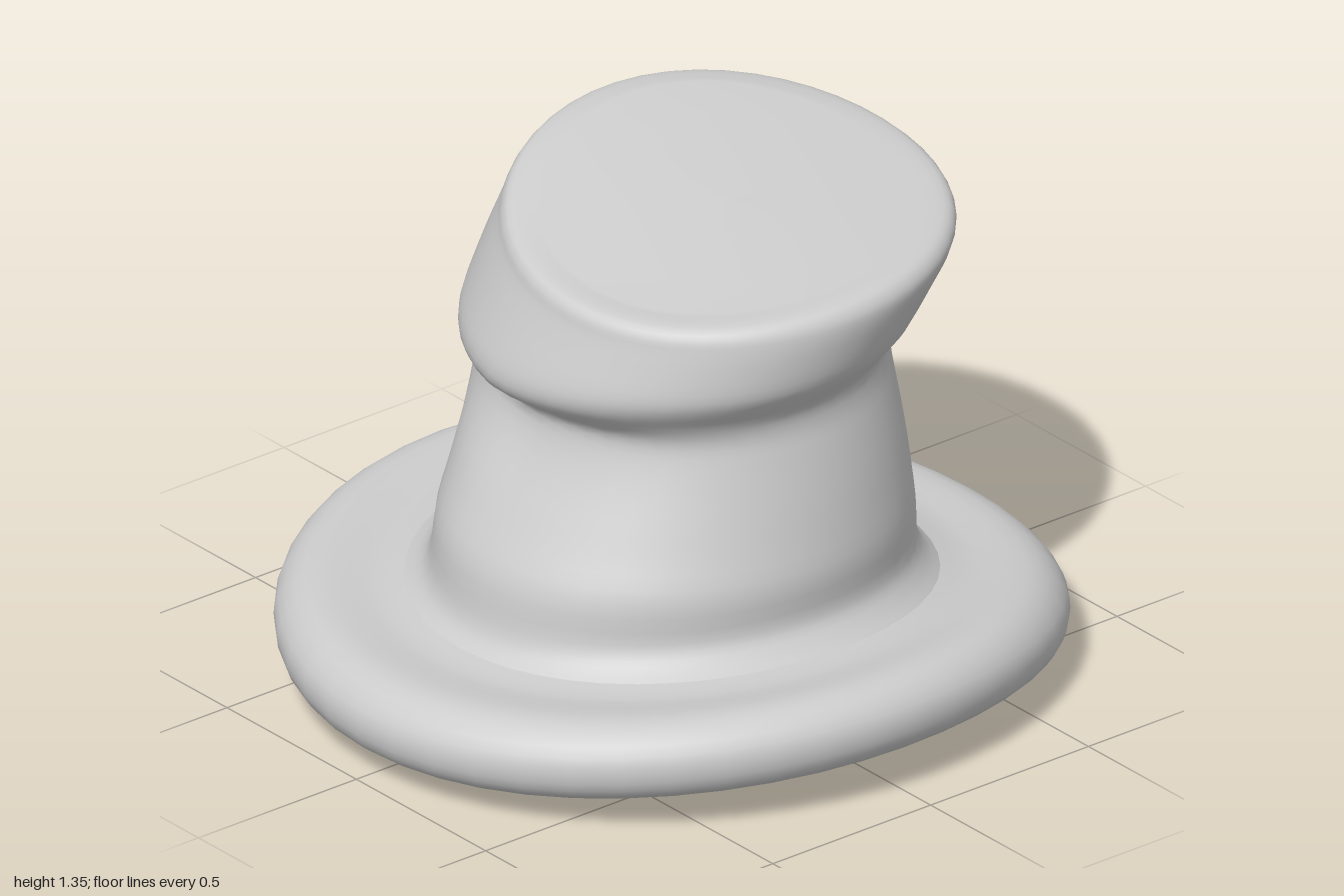
import * as THREE from 'three';

const SEGMENTS = 48;

// Skin a list of closed rings, bottom to top; point(ring, angle) gives each vertex
function loft(rings, point) {
  const pos = [], index = [];
  rings.forEach((ring, i) => {
    for (let j = 0; j < SEGMENTS; j++) {
      pos.push(...point(ring, (j / SEGMENTS) * Math.PI * 2));
      if (i === rings.length - 1) continue;
      const k = (j + 1) % SEGMENTS;
      const a = i * SEGMENTS + j, b = i * SEGMENTS + k;
      index.push(a, b, b + SEGMENTS, a, b + SEGMENTS, a + SEGMENTS);
    }
  });
  const geo = new THREE.BufferGeometry();
  geo.setAttribute('position', new THREE.Float32BufferAttribute(pos, 3));
  geo.setIndex(index);
  geo.computeVertexNormals();
  return geo;
}

// Insert smooth in-between rings
function smooth(rows, steps) {
  const out = [];
  for (let i = 0; i < rows.length - 1; i++) {
    const p = rows[Math.max(i - 1, 0)], q = rows[i], r = rows[i + 1];
    const s = rows[Math.min(i + 2, rows.length - 1)];
    for (let n = 0; n < steps; n++) {
      const t = n / steps;
      out.push(q.map((v, c) => {
        const cubic = 3 * (v - r[c]) + s[c] - p[c];
        const square = 2 * p[c] - 5 * v + 4 * r[c] - s[c];
        return v + 0.5 * t * (r[c] - p[c] + t * (square + t * cubic));
      }));
    }
  }
  out.push(rows[rows.length - 1]);
  return out;
}

const bell = (v, width) => Math.exp(-((v / width) ** 2));

// The brim droops at the front and more at the back
const droop = (z) => -(z > 0 ? 0.06 : 0.13) * z * z;

// Brim section: [scale of outline, height]
const brimRows = [
  [0, 0.16], [0.5, 0.158], [0.8, 0.148], [0.87, 0.122], [0.92, 0.112], [0.96, 0.12],
  [0.99, 0.155], [1, 0.2], [0.99, 0.245], [0.95, 0.285], [0.89, 0.3],
  [0.81, 0.287], [0.74, 0.275], [0.67, 0.28],
];

function brimPoint([s, y], a) {
  const z = s * Math.cos(a);
  return [0.94 * s * Math.sin(a), y + droop(z), z];
}

// Crown rings: [height, xMin, xMax, zMin, zMax, share of the top's slant]
const crownRows = [
  [0.28, -0.635, 0.635, -0.672, 0.672, 0],
  [0.305, -0.59, 0.6, -0.64, 0.64, 0],
  [0.35, -0.557, 0.567, -0.622, 0.62, 0],
  [0.45, -0.555, 0.57, -0.61, 0.6, 0],
  [0.55, -0.56, 0.55, -0.6, 0.545, 0],
  [0.66, -0.567, 0.525, -0.59, 0.5, 0],
  [0.76, -0.575, 0.5, -0.58, 0.475, 0],
  [0.83, -0.58, 0.485, -0.575, 0.475, 0.1],
  [0.89, -0.578, 0.49, -0.577, 0.505, 0.2],
  [0.95, -0.565, 0.53, -0.59, 0.505, 0.35],
  [1.01, -0.55, 0.565, -0.61, 0.49, 0.5],
  [1.1, -0.53, 0.585, -0.655, 0.46, 0.75],
  [1.18, -0.505, 0.595, -0.7, 0.435, 1],
  [1.215, -0.495, 0.588, -0.707, 0.425, 1],
  [1.238, -0.47, 0.56, -0.68, 0.4, 1],
  [1.242, -0.4, 0.49, -0.61, 0.33, 1],
];

function crownPoint([h, x0, x1, z0, z1, slant, flat = 1], a) {
  const sx = Math.sin(a), cz = Math.cos(a);
  // Crumpled crease: lowest at the front, rising to both sides
  const turn = (a > Math.PI ? a - 2 * Math.PI : a) + 0.1;
  const dy = h - (0.77 + 0.09 * Math.min(Math.abs(turn), 1.4));
  const dent = 0.09 * bell(turn, 0.7) * bell(dy, dy > 0 ? 0.08 : 0.17);
  const x = (x0 + x1) / 2 + ((x1 - x0) / 2 - dent) * sx;
  const z = (z0 + z1) / 2 + ((z1 - z0) / 2 - dent) * cz;
  // Top slants down toward the front and the +x side
  const tilt = -0.078 * sx * flat - 0.04 * cz * flat + 0.022 * -Math.cos(2 * a) * flat * flat;
  const base = Math.max(0, 1 - (h - 0.28) / 0.3);
  return [x, h + slant * tilt + base * droop(z), z];
}

export function createModel() {
  const hat = new THREE.Group();
  hat.name = 'crumpledTopHat';
  const material = new THREE.MeshStandardMaterial({ color: 0xcccccc, side: THREE.DoubleSide });

  // Lid: shrink the last crown ring to its centre
  const [h, x0, x1, z0, z1] = crownRows[crownRows.length - 1];
  const cx = (x0 + x1) / 2, cz = (z0 + z1) / 2;
  const lid = [0.75, 0.5, 0.25, 0].map((s) => [
    h, cx + (x0 - cx) * s, cx + (x1 - cx) * s, cz + (z0 - cz) * s, cz + (z1 - cz) * s, 1, s,
  ]);

  const parts = {
    brim: loft(smooth(brimRows, 2), brimPoint),
    crown: loft([...smooth(crownRows, 3), ...lid], crownPoint),
  };
  for (const [name, geometry] of Object.entries(parts)) {
    const mesh = new THREE.Mesh(geometry, material);
    mesh.name = name;
    hat.add(mesh);
  }
  return hat;
}
